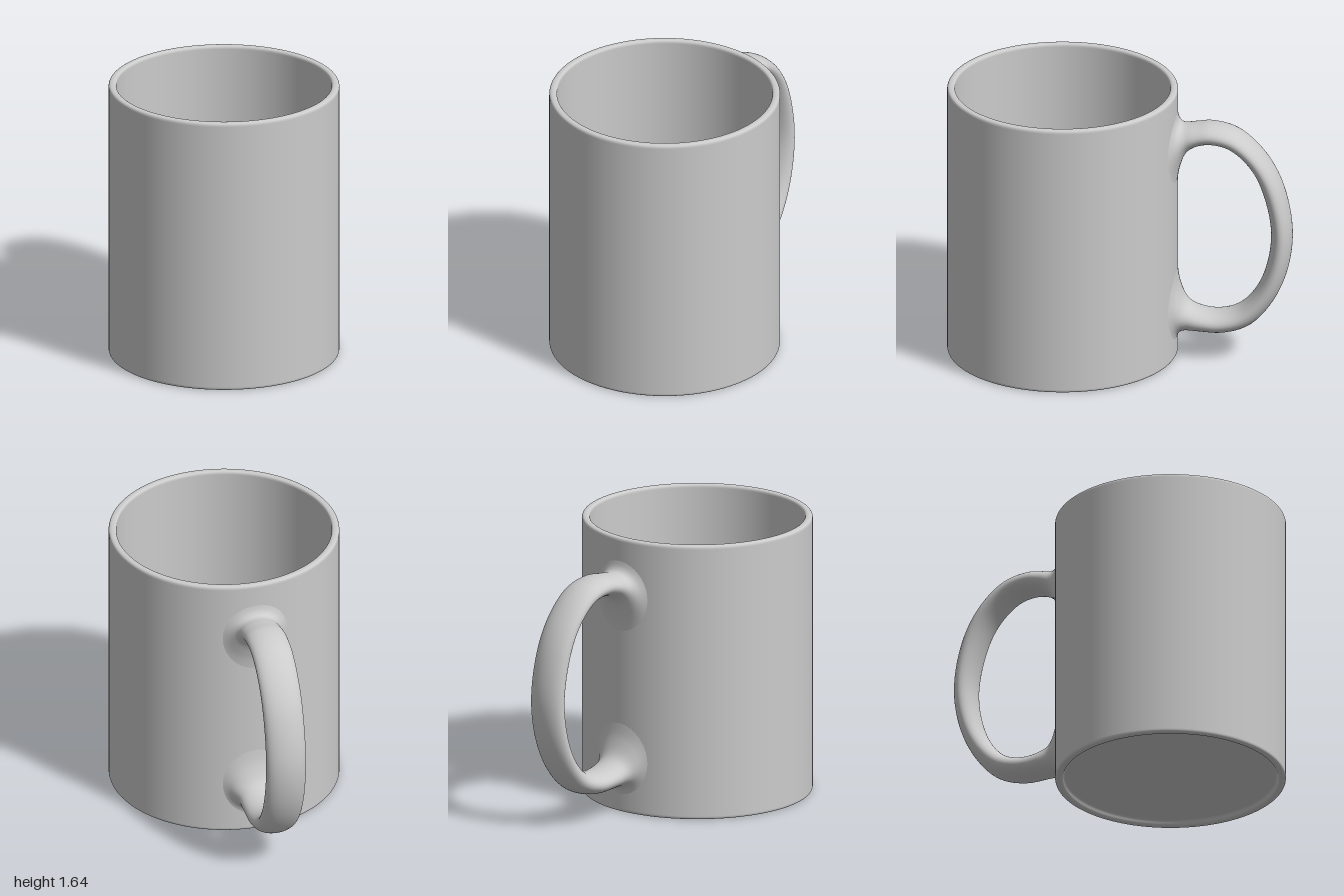
import * as THREE from 'three';

const R = 0.665, H = 1.64, CUP_Z = 0.335;
const material = new THREE.MeshStandardMaterial({ color: 0xcccccc, side: THREE.DoubleSide });

// Lathe profile: each corner [radius, y, fillet] becomes a small rounded bend
function roundedProfile(corners) {
  const pts = [];
  corners.forEach(([x, y, f], i) => {
    const p = new THREE.Vector2(x, y);
    if (!f) return pts.push(p);
    const toward = ([qx, qy], d) => p.clone().add(new THREE.Vector2(qx - x, qy - y).setLength(d));
    const a = toward(corners[i - 1], f), b = toward(corners[i + 1], f);
    // short lead-in and lead-out keep the flat runs flat
    pts.push(toward(corners[i - 1], f * 1.05));
    pts.push(...new THREE.QuadraticBezierCurve(a, p, b).getPoints(6));
    pts.push(toward(corners[i + 1], f * 1.05));
  });
  return pts;
}

function makeCup() {
  const profile = roundedProfile([
    [0, 0.03, 0], [0.61, 0.03, 0.012], [0.625, 0, 0.012], [R, 0, 0.018],
    [R, H, 0.02], [0.62, H, 0.018], [0.62, 0.07, 0.035], [0, 0.07, 0],
  ]);
  const cup = new THREE.Mesh(new THREE.LatheGeometry(profile, 128), material);
  cup.name = 'cup';
  cup.position.z = CUP_Z;
  return cup;
}

// Handle stations: outer z, outer y, inner z, inner y, half width; flared at the wall
const STATIONS = [
  [-0.325, 1.53, -0.325, 1.05, 0.21],
  [-0.34, 1.465, -0.345, 1.17, 0.155],
  [-0.365, 1.443, -0.385, 1.27, 0.125],
  [-0.43, 1.448, -0.44, 1.315, 0.118],
  [-0.53, 1.458, -0.53, 1.335, 0.118],
  [-0.68, 1.42, -0.64, 1.31, 0.118],
  [-0.83, 1.29, -0.755, 1.205, 0.118],
  [-0.94, 1.1, -0.83, 1.05, 0.118],
  [-1, 0.8, -0.878, 0.8, 0.118],
  [-0.965, 0.54, -0.845, 0.57, 0.118],
  [-0.87, 0.34, -0.775, 0.42, 0.118],
  [-0.75, 0.215, -0.68, 0.325, 0.118],
  [-0.6, 0.165, -0.565, 0.29, 0.118],
  [-0.45, 0.165, -0.455, 0.305, 0.118],
  [-0.37, 0.163, -0.39, 0.345, 0.125],
  [-0.34, 0.14, -0.345, 0.44, 0.155],
  [-0.325, 0.08, -0.325, 0.57, 0.21],
];

function makeHandle() {
  // The x of both guide curves carries the half width
  const outer = new THREE.CatmullRomCurve3(STATIONS.map(([z, y, , , w]) => new THREE.Vector3(w, y, z)));
  const inner = new THREE.CatmullRomCurve3(STATIONS.map(([, , z, y, w]) => new THREE.Vector3(w, y, z)));
  const rows = 128, sides = 40, pos = [], index = [];
  for (let r = 0; r <= rows; r++) {
    const o = outer.getPoint(r / rows), i = inner.getPoint(r / rows);
    const flare = THREE.MathUtils.smoothstep(o.x, 0.118, 0.2);
    for (let s = 0; s < sides; s++) {
      const a = (s / sides) * Math.PI * 2, k = (1 + Math.sin(a)) / 2;
      const x = o.x * Math.cos(a);
      // flared ends wrap around the curved wall
      const wrap = flare * (R - Math.sqrt(R * R - x * x));
      pos.push(x, THREE.MathUtils.lerp(i.y, o.y, k), THREE.MathUtils.lerp(i.z, o.z, k) + wrap);
      if (r < rows) {
        const p = r * sides + s, q = r * sides + ((s + 1) % sides);
        index.push(p, p + sides, q, q, p + sides, q + sides);
      }
    }
  }
  const geometry = new THREE.BufferGeometry();
  geometry.setAttribute('position', new THREE.Float32BufferAttribute(pos, 3));
  geometry.setIndex(index);
  geometry.computeVertexNormals();
  const handle = new THREE.Mesh(geometry, material);
  handle.name = 'handle';
  return handle;
}

export function createModel() {
  const mug = new THREE.Group();
  mug.name = 'mug';
  mug.add(makeCup(), makeHandle());
  return mug;
}
